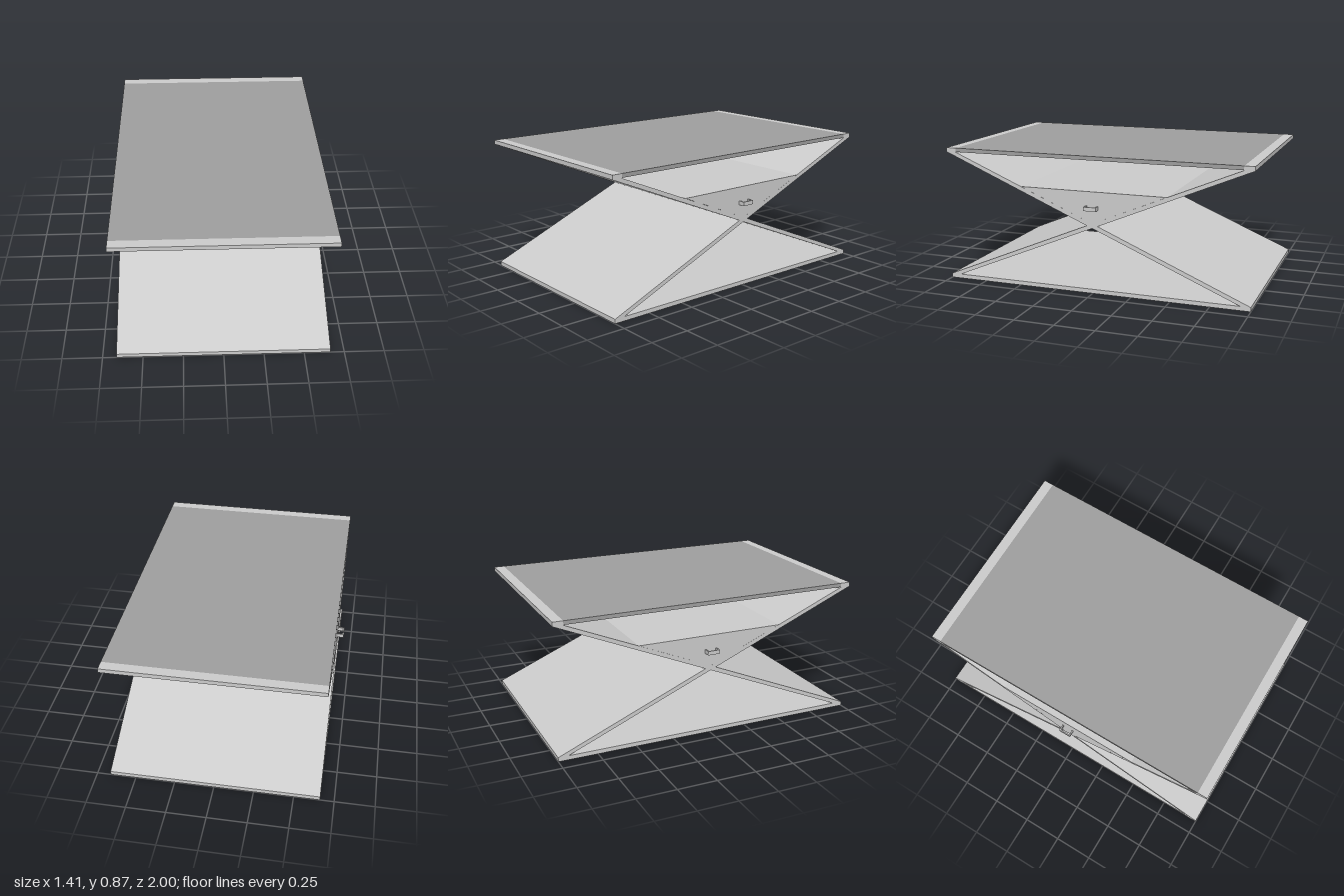
import * as THREE from 'three';

const W = 1.326;   // width along x
const H = 0.867;   // overall height
const T = 0.027;   // panel thickness
const MID = H / 2; // crossing height

const frameMat = new THREE.MeshStandardMaterial({ color: 0xcccccc });
const topMat = new THREE.MeshStandardMaterial({ color: 0x9e9e9e });

const points = (list) => list.map(([x, y]) => new THREE.Vector2(x, y));

// Extrude a (z, y) profile across the width, centred on x = 0
function acrossWidth(name, outline, width, hole) {
  const shape = new THREE.Shape(points(outline));
  if (hole) shape.holes.push(new THREE.Path(points(hole)));
  const geo = new THREE.ExtrudeGeometry(shape, { depth: width, bevelEnabled: false });
  geo.translate(0, 0, -width / 2);
  geo.rotateY(-Math.PI / 2);
  const mesh = new THREE.Mesh(geo, frameMat);
  mesh.name = name;
  return mesh;
}

export function createModel() {
  const group = new THREE.Group();
  group.name = 'crossTable';

  // Crossed panels with the base panel, one continuous profile
  const half = [[-1, 0], [1, 0], [1, T], [0.035, MID], [1, H - T], [1, H],
    [0.935, H], [0.935, H - T], [0, MID + 0.0145]];
  const mirrored = half.slice(2, 8).reverse().map(([z, y]) => [-z, y]);
  group.add(acrossWidth('crossFrame', [...half, ...mirrored], W,
    [[-0.935, T], [0, MID - 0.0145], [0.935, T]]));

  // Inset table top between the frame ends
  const top = new THREE.Mesh(new THREE.BoxGeometry(W, T - 0.002, 1.87), topMat);
  top.name = 'tableTop';
  top.position.y = H - (T - 0.002) / 2;
  group.add(top);

  // Wedge-shaped drawer body resting in the upper V
  group.add(acrossWidth('drawerBody',
    [[0, MID + 0.0145], [0.478, 0.649], [-0.478, 0.649]], W));

  // U-shaped pull on each end
  for (const side of [1, -1]) {
    const x0 = W / 2, x1 = 0.704, t = 0.008, w = 0.04;
    const u = [[x0, -w], [x1, -w], [x1, w], [x0, w], [x0, w - t],
      [x1 - t, w - t], [x1 - t, -w + t], [x0, -w + t]];
    const geo = new THREE.ExtrudeGeometry(new THREE.Shape(points(u)),
      { depth: 0.025, bevelEnabled: false });
    geo.rotateX(-Math.PI / 2);
    const pull = new THREE.Mesh(geo, frameMat);
    pull.name = side > 0 ? 'leftPull' : 'rightPull';
    pull.position.y = 0.535;
    if (side < 0) pull.rotation.y = Math.PI;
    group.add(pull);
  }
  return group;
}
